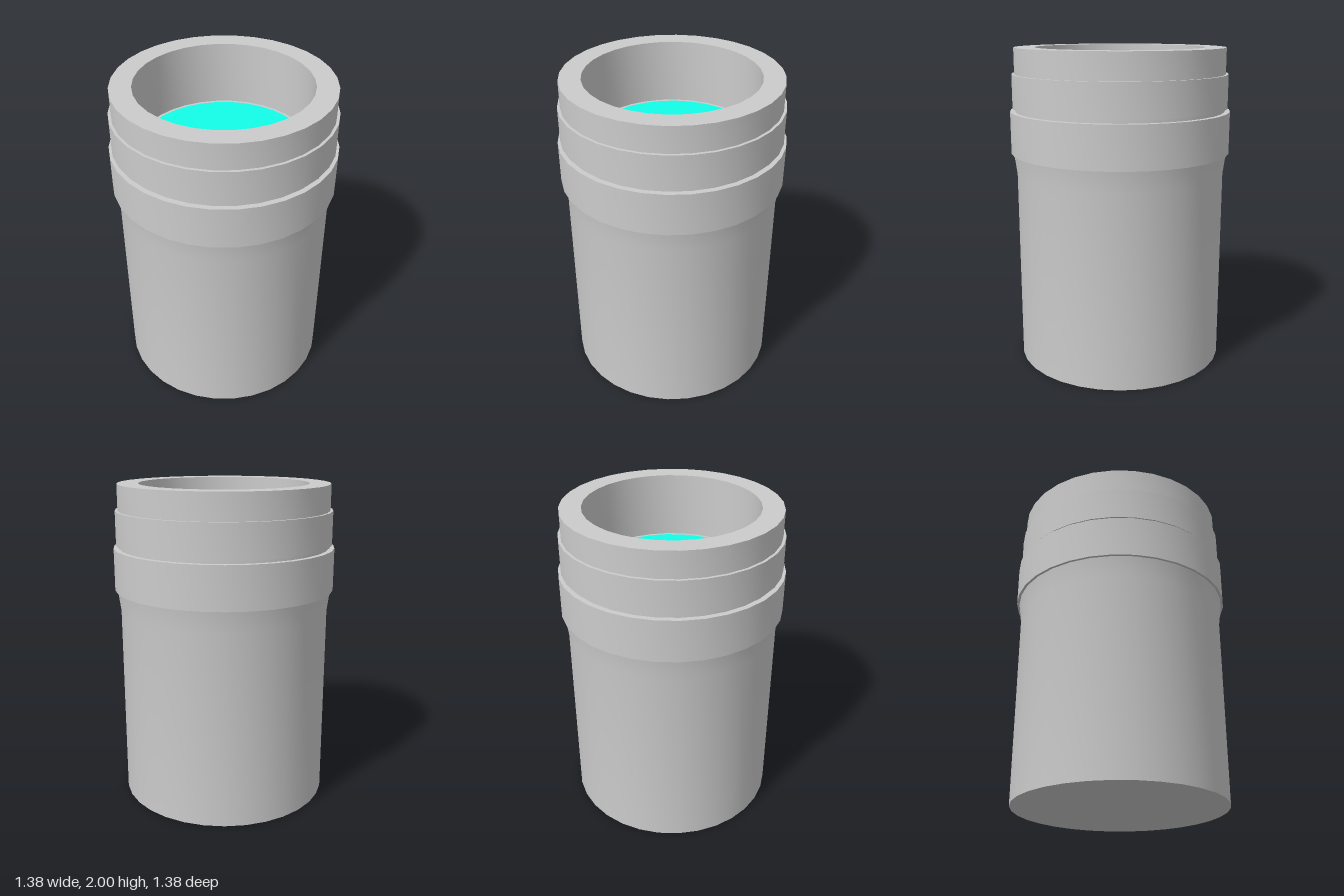
import * as THREE from 'three';
import { toCreasedNormals } from 'three/addons/utils/BufferGeometryUtils.js';

const SEGMENTS = 32;
const BODY_R = 0.659, RING_R = 0.676, COLLAR_R = 0.692;
const BORE_R = 0.528, DISC_R = 0.51, FLOOR_Y = 1.6;

const grey = new THREE.MeshStandardMaterial({ color: 0xcccccc });
const teal = new THREE.MeshStandardMaterial({ color: 0x12fee8 });

// Turned part from [radius, height] pairs, with sharp steps and smooth rounds
function turned(name, profile) {
  const points = profile.map(([r, y]) => new THREE.Vector2(r, y));
  const geometry = toCreasedNormals(new THREE.LatheGeometry(points, SEGMENTS), 0.5);
  const mesh = new THREE.Mesh(geometry, grey);
  mesh.name = name;
  return mesh;
}

export function createModel() {
  const model = new THREE.Group();
  model.name = 'cylinderHousing';

  // The sections join end to end into one continuous skin
  model.add(
    // Closed bottom, straight wall and slight flare below the collar
    turned('barrel', [[0, 0], [BODY_R, 0], [BODY_R, 1.22], [RING_R, 1.35]]),
    // Widest band
    turned('collar', [[RING_R, 1.35], [COLLAR_R, 1.35], [COLLAR_R, 1.612], [BODY_R, 1.612]]),
    // Narrow groove and the band above it
    turned('upperRing', [[BODY_R, 1.612], [BODY_R, 1.63], [RING_R, 1.63], [RING_R, 1.84], [BODY_R, 1.84]]),
    // Top lip, bore wall and the ledge around the disc
    turned('rim', [[BODY_R, 1.84], [BODY_R, 2], [BORE_R, 2], [BORE_R, FLOOR_Y], [DISC_R, FLOOR_Y]])
  );

  // Coloured disc at the bottom of the bore, corners lined up with the lathe
  const disc = new THREE.Mesh(new THREE.CircleGeometry(DISC_R, SEGMENTS), teal);
  disc.name = 'disc';
  disc.rotation.x = -Math.PI / 2;
  disc.position.y = FLOOR_Y;
  model.add(disc);

  return model;
}
